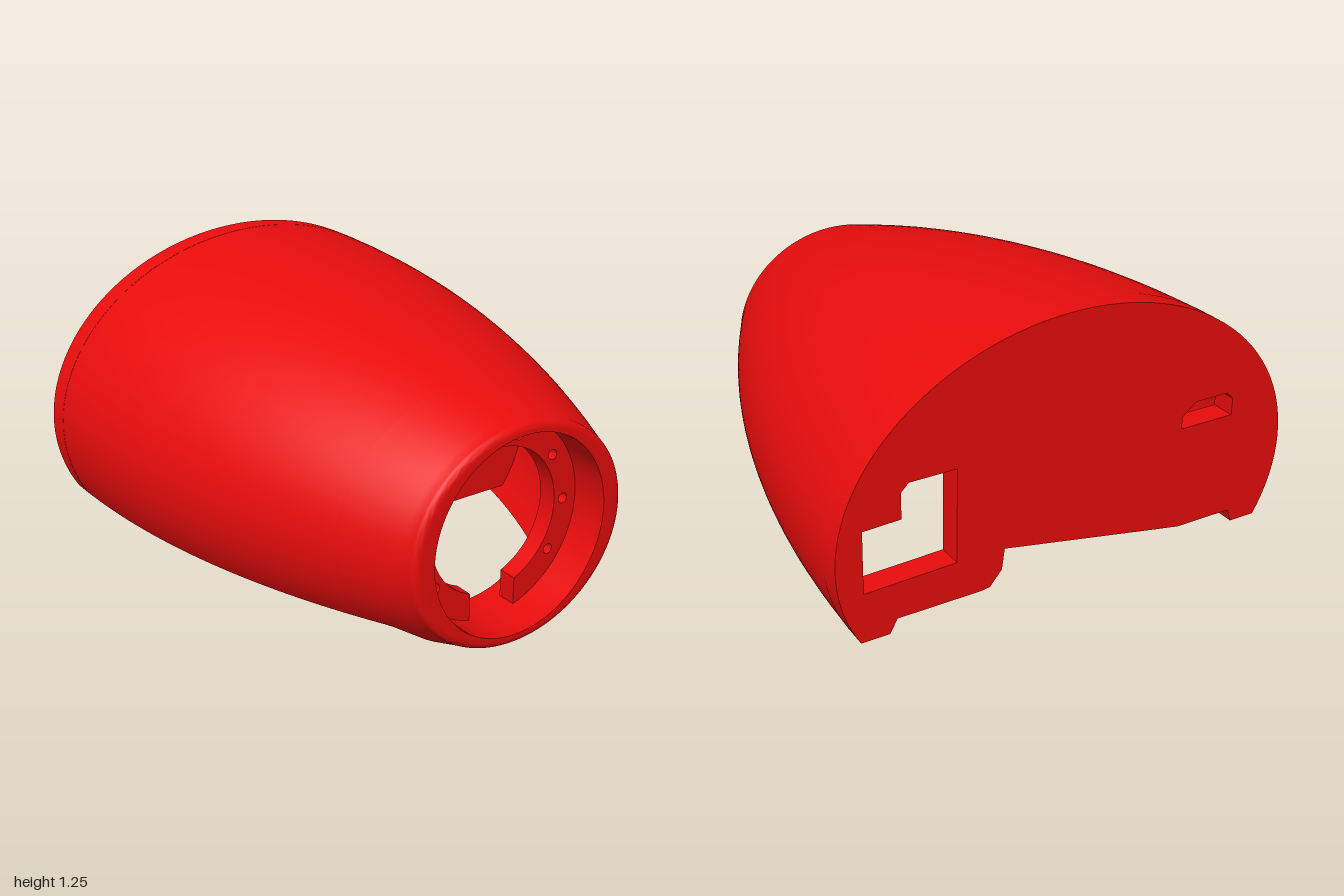
import * as THREE from 'three';
import { toCreasedNormals } from 'three/addons/utils/BufferGeometryUtils.js';

const CY = 0.5;      // height of the hull axis
const RAIL = 0.18;   // height of the open lower edge
const BORE = 0.41;

// Half-width and half-height of the hull at z
const halfW = z => 0.975 - 0.485 * Math.pow((z + 1) / 2, 2.1);
const halfH = z => 0.76 - 0.315 * Math.pow((z + 1) / 2, 2);

// Elliptical arc from the +x rail over the top to the -x rail
function arch(a, b, n = 72, base = RAIL) {
  const start = Math.asin((base - CY) / b), pts = [];
  for (let i = 0; i <= n; i++) {
    const t = start + (Math.PI - 2 * start) * i / n;
    pts.push([a * Math.cos(t), CY + b * Math.sin(t)]);
  }
  return pts;
}

// Chin underside: shallow bowl blended into the rail height
function chin(x) {
  const bowl = 0.005 + 0.9 * x * x;
  const h = Math.max(0.04 - Math.abs(bowl - RAIL), 0) / 0.04;
  return Math.min(bowl, RAIL) - h * h * 0.01;
}

// Full ring: arch plus chin
function noseRing(z) {
  const a = halfW(z), b = halfH(z), pts = arch(a, b), n = 48;
  const xr = pts[0][0];
  for (let i = 1; i < n; i++) {
    const x = -xr + 2 * xr * i / n;
    const y = CY - b * Math.sqrt(1 - (x / a) ** 2);
    pts.push([x, Math.min(RAIL, Math.max(y, chin(x)))]);
  }
  return pts;
}

// Skin a list of closed rings of equal point count
function loft(rings) {
  const pos = [], idx = [], n = rings[0].pts.length;
  for (const r of rings) for (const [x, y] of r.pts) pos.push(x, y, r.z);
  for (let i = 0; i < rings.length - 1; i++) {
    for (let j = 0; j < n; j++) {
      const k = (j + 1) % n;
      const a = i * n + j, b = i * n + k, c = b + n, d = a + n;
      idx.push(a, b, c, a, c, d);
    }
  }
  const g = new THREE.BufferGeometry();
  g.setAttribute('position', new THREE.Float32BufferAttribute(pos, 3));
  g.setIndex(idx);
  return toCreasedNormals(g, 0.6);
}

const toShape = pts => new THREE.Shape(pts.map(p => new THREE.Vector2(p[0], p[1])));
const toPath = pts => new THREE.Path(pts.map(p => new THREE.Vector2(p[0], p[1])));
const oval = (x, y, rx, ry = rx) => new THREE.Path().absellipse(x, y, rx, ry, 0, Math.PI * 2, false, 0);

function slab(shape, z0, z1, curveSegments = 24) {
  const g = new THREE.ExtrudeGeometry(shape, { depth: z1 - z0, bevelEnabled: false, curveSegments });
  g.translate(0, 0, z0);
  return toCreasedNormals(g, 0.5);
}

export function createModel() {
  const group = new THREE.Group();
  const material = new THREE.MeshStandardMaterial({ color: 0xe80c0c, side: THREE.DoubleSide });
  const add = (name, geometry) => {
    const mesh = new THREE.Mesh(geometry, material);
    mesh.name = name;
    group.add(mesh);
  };

  // Hollow hull, open underneath
  const wall = 0.1, shellRings = [];
  for (let i = 0; i <= 32; i++) {
    const z = -0.9 + 1.59 * i / 32;
    const outer = arch(halfW(z), halfH(z));
    const inner = arch(halfW(z) - wall, halfH(z) - wall).reverse();
    shellRings.push({ z, pts: [...outer, ...inner] });
  }
  add('hullShell', loft(shellRings));

  // Nose with chin, rounded lip and bore
  const noseRings = [];
  for (let i = 0; i <= 10; i++) {
    const z = 0.69 + 0.28 * i / 10;
    noseRings.push({ z, pts: noseRing(z) });
  }
  const lip = noseRing(0.97);
  for (let i = 1; i <= 6; i++) {
    const t = (i / 6) * Math.PI / 2, s = 1 - 0.065 * (1 - Math.cos(t));
    noseRings.push({
      z: 0.97 + 0.03 * Math.sin(t),
      pts: lip.map(([x, y]) => [x * s, CY + (y - CY) * s]),
    });
  }
  const bore = lip.map(([x, y]) => {
    const t = Math.atan2(y - CY, x);
    return [BORE * Math.cos(t), CY + BORE * Math.sin(t)];
  });
  noseRings.push({ z: 1, pts: bore }, { z: 0.69, pts: bore }, noseRings[0]);
  add('nose', loft(noseRings));

  // Mounting plate inside the bore, slotted at the bottom, with bolt holes
  const down = -Math.PI / 2, gap = r => Math.asin(0.11 / r);
  const plate = new THREE.Shape();
  plate.absarc(0, CY, BORE, down + gap(BORE), down + 2 * Math.PI - gap(BORE), false);
  plate.absarc(0, CY, 0.3, down + 2 * Math.PI - gap(0.3), down + gap(0.3), true);
  plate.closePath();
  for (let i = -1; i <= 6; i++) {
    if (i === 5) continue;
    const t = i * Math.PI / 5;
    plate.holes.push(oval(0.345 * Math.cos(t), CY + 0.345 * Math.sin(t), 0.021));
  }
  add('mountingPlate', slab(plate, 0.76, 0.84, 48));

  // Back wall with slanted lower cutout, stepped socket and cable slot
  const back = toShape([
    ...arch(halfW(-1), halfH(-1)),
    [-0.77, RAIL], [-0.75, 0.235], [-0.5, 0.235], [-0.38, 0.257],
    [0.3, 0.385], [0.31, 0.3], [0.36, 0.24], [0.4, 0.235], [0.74, 0.235], [0.77, RAIL],
  ]);
  back.holes.push(
    toPath([[0.5, 0.39], [0.87, 0.38], [0.87, 0.63], [0.72, 0.635], [0.72, 0.74], [0.69, 0.77], [0.5, 0.77]]),
    toPath([[-0.48, 0.67], [-0.72, 0.67], [-0.72, 0.74], [-0.69, 0.77], [-0.54, 0.77], [-0.48, 0.72]]),
  );
  add('backWall', slab(back, -1, -0.9));

  // Inner bulkhead with arched passage and oval opening
  const bz = 0.1;
  const bulkhead = toShape([
    ...arch(halfW(bz) - 0.06, halfH(bz) - 0.06, 48, 0.22),
    [-0.3, 0.22], [-0.21, 0.3], [-0.15, 0.38], [-0.125, 0.46], [-0.125, 0.78], [-0.1, 0.82],
    [0.1, 0.82], [0.125, 0.78], [0.125, 0.46], [0.15, 0.38], [0.21, 0.3], [0.3, 0.22],
  ]);
  bulkhead.holes.push(oval(-0.38, CY, 0.13, 0.17));
  add('bulkhead', slab(bulkhead, bz, bz + 0.07));

  // Raised collar around the oval opening
  const collar = new THREE.Shape().absellipse(-0.38, CY, 0.17, 0.21, 0, Math.PI * 2, false, 0);
  collar.holes.push(oval(-0.38, CY, 0.13, 0.17));
  add('openingCollar', slab(collar, bz - 0.04, bz + 0.1));

  // Crossbar in the arched passage with a screw hole
  const bar = toShape([[-0.13, 0.46], [0.13, 0.46], [0.13, 0.63], [-0.13, 0.63]]);
  bar.holes.push(oval(0, 0.525, 0.028));
  add('crossbar', slab(bar, bz, bz + 0.05));

  return group;
}
